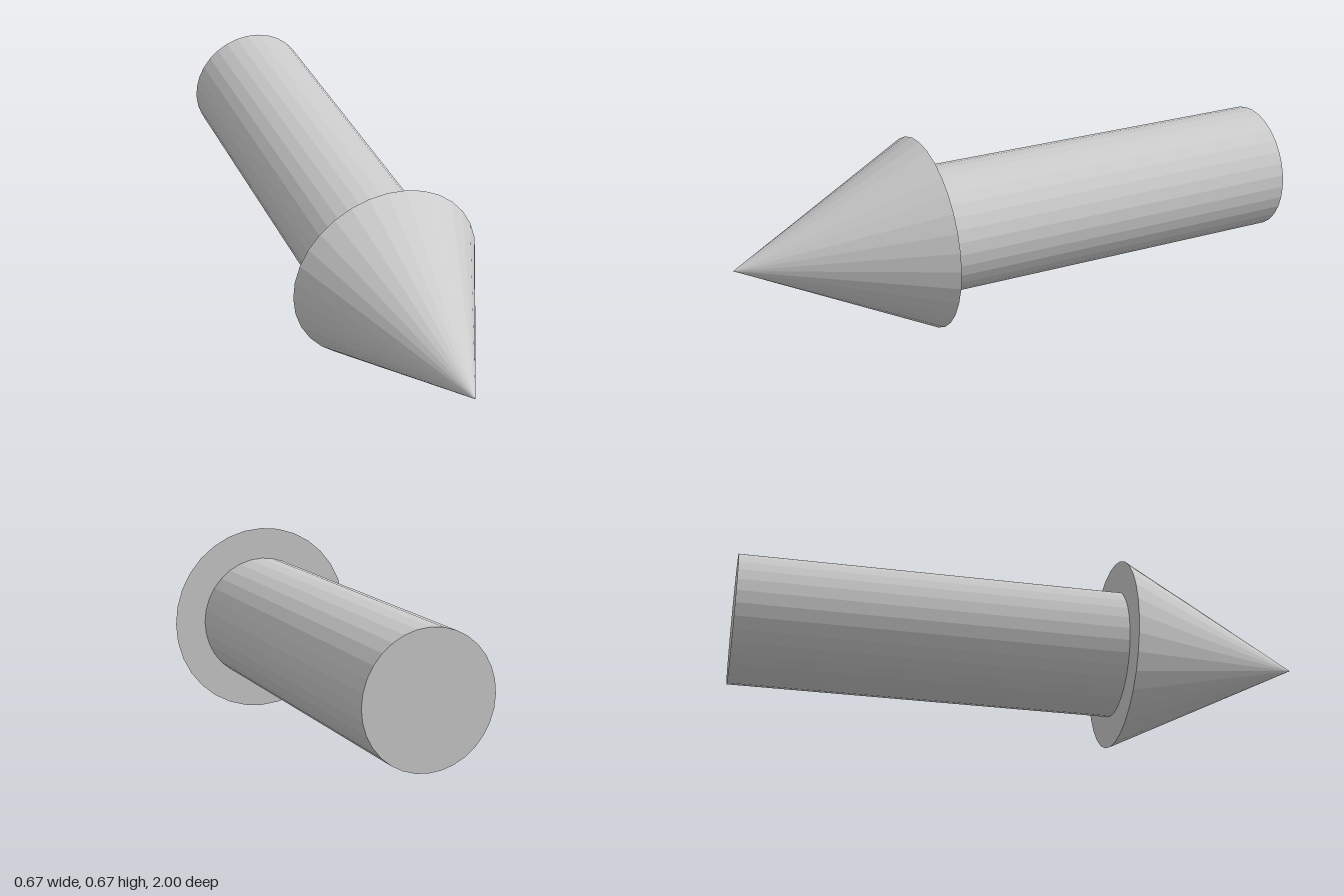
import * as THREE from 'three';

const SIDES = 32;
const HEAD_RADIUS = 1 / 3;
const SHAFT_RADIUS = 2 / 9;
const NECK_Z = 1 / 3; // where the shaft meets the head

export function createModel() {
  const model = new THREE.Group();
  model.name = 'arrow';
  const material = new THREE.MeshStandardMaterial({ color: 0xcccccc, flatShading: true });

  // Lay a y-axis solid along z, spanning zBack to zFront
  const addPart = (name, radiusFront, radiusBack, zBack, zFront) => {
    const geometry = new THREE.CylinderGeometry(radiusFront, radiusBack, zFront - zBack, SIDES);
    geometry.rotateX(Math.PI / 2);
    const mesh = new THREE.Mesh(geometry, material);
    mesh.name = name;
    mesh.position.set(0, HEAD_RADIUS, (zBack + zFront) / 2);
    model.add(mesh);
  };

  // Straight round shaft with a flat back end
  addPart('shaft', SHAFT_RADIUS, SHAFT_RADIUS, -1, NECK_Z);
  // Pointed cone head with a flat back
  addPart('head', 0, HEAD_RADIUS, NECK_Z, 1);

  return model;
}
